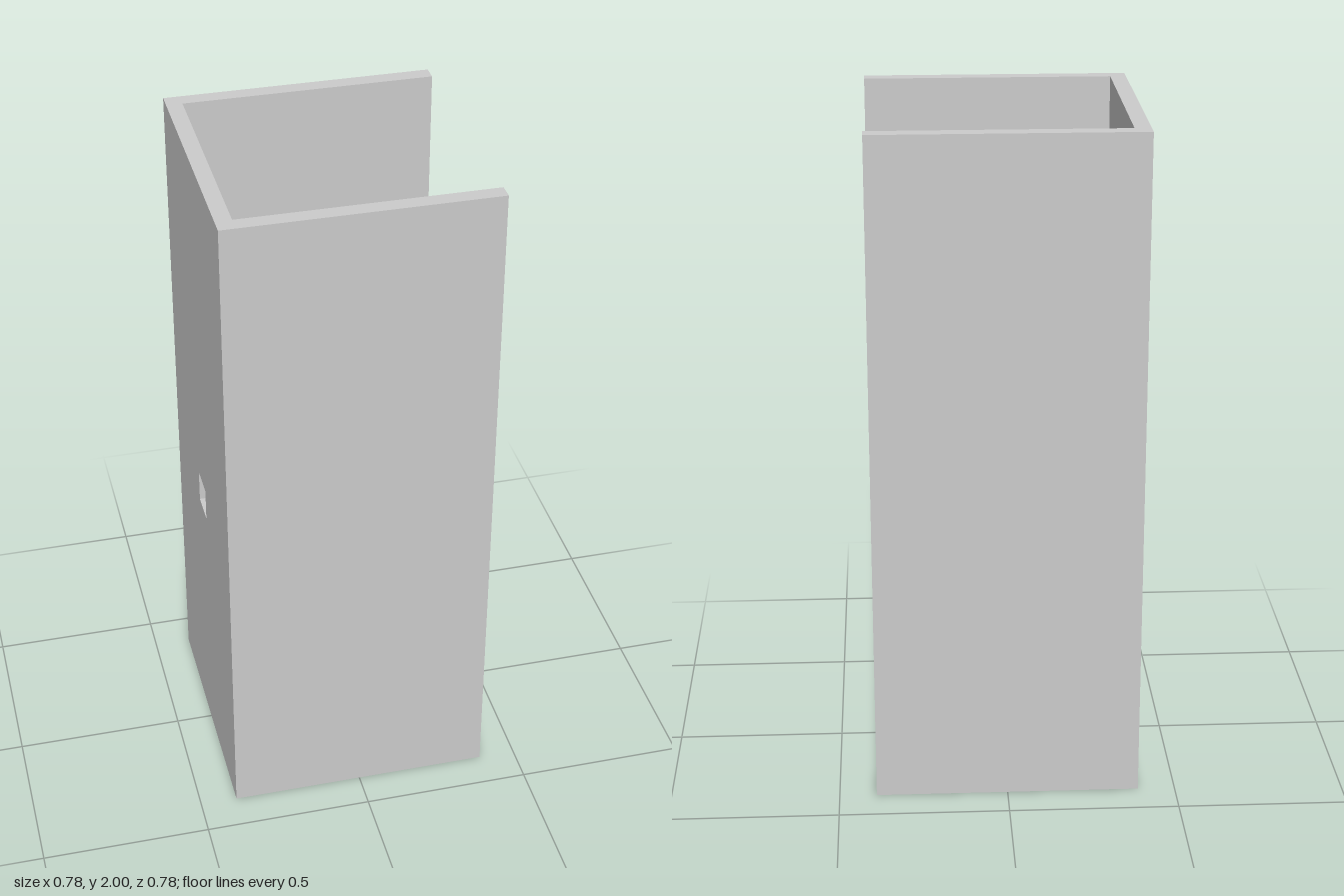
import * as THREE from 'three';

const grey = new THREE.MeshStandardMaterial({ color: 0xcccccc, flatShading: true });

export function createModel() {
  const model = new THREE.Group();
  model.name = 'channelWithLatch';

  // Box given by its lower and upper limits on each axis
  function box(name, [x0, x1], [y0, y1], [z0, z1], parent = model) {
    const mesh = new THREE.Mesh(new THREE.BoxGeometry(x1 - x0, y1 - y0, z1 - z0), grey);
    mesh.position.set((x0 + x1) / 2, (y0 + y1) / 2, (z0 + z1) / 2);
    mesh.name = name;
    parent.add(mesh);
    return mesh;
  }

  const half = 0.39, inner = 0.343;

  // Two long side walls of the open channel
  box('frontWall', [-half, half], [0, 2], [inner, half]);
  box('rearWall', [-half, half], [0, 2], [-half, -inner]);

  // Web joining them, pierced by a small square window
  const web = new THREE.Shape([[-inner, 0], [inner, 0], [inner, 2], [-inner, 2]].map(p => new THREE.Vector2(...p)));
  web.holes.push(new THREE.Path([[-0.05, 0.83], [-0.05, 0.93], [0.05, 0.93], [0.05, 0.83]].map(p => new THREE.Vector2(...p))));
  const webMesh = new THREE.Mesh(
    new THREE.ExtrudeGeometry(web, { depth: half - inner, bevelEnabled: false }), grey);
  webMesh.rotation.y = Math.PI / 2;
  webMesh.position.x = -half;
  webMesh.name = 'webWall';
  model.add(webMesh);

  // Shallow raised tiles on the inner face of the web: z range, y range, height
  const tiles = new THREE.Group();
  tiles.name = 'raisedTiles';
  model.add(tiles);
  [
    [[0.098, 0.195], [1.13, 1.225], 0.012],
    [[0.047, 0.098], [1.13, 1.178], 0.006],
    [[0.147, 0.195], [1.225, 1.274], 0.006],
    [[-0.245, -0.147], [1.13, 1.225], 0.012],
    [[-0.147, -0.1], [1.178, 1.225], 0.006],
    [[-0.294, -0.245], [1.13, 1.178], 0.006],
    [[0.243, inner], [0.735, 0.83], 0.012],
    [[-inner, -0.294], [0.93, 0.98], 0.012],
  ].forEach(([z, y, h]) => box('tile', [-inner, -inner + h], y, z, tiles));

  // Ledge under the window
  box('ledge', [-inner, -0.293], [0.73, 0.83], [-0.051, 0.047]);
  box('ledgeLip', [-inner, -0.293], [0.73, 0.825], [-0.061, -0.051]);

  // Free-standing latch plate with its hook, rear rib and loose pin
  const latch = new THREE.Group();
  latch.name = 'latch';
  model.add(latch);
  const height = [0.54, 0.83];
  box('latchPlate', [-0.245, 0.388], height, [-0.026, 0.023], latch);
  box('latchHook', [-0.245, -0.147], height, [0.023, 0.071], latch);
  box('latchRib', [0.098, 0.145], height, [-0.073, -0.026], latch);
  box('pin', [-0.122, -0.1], [0.515, 0.805], [0.029, 0.053], latch);

  return model;
}
